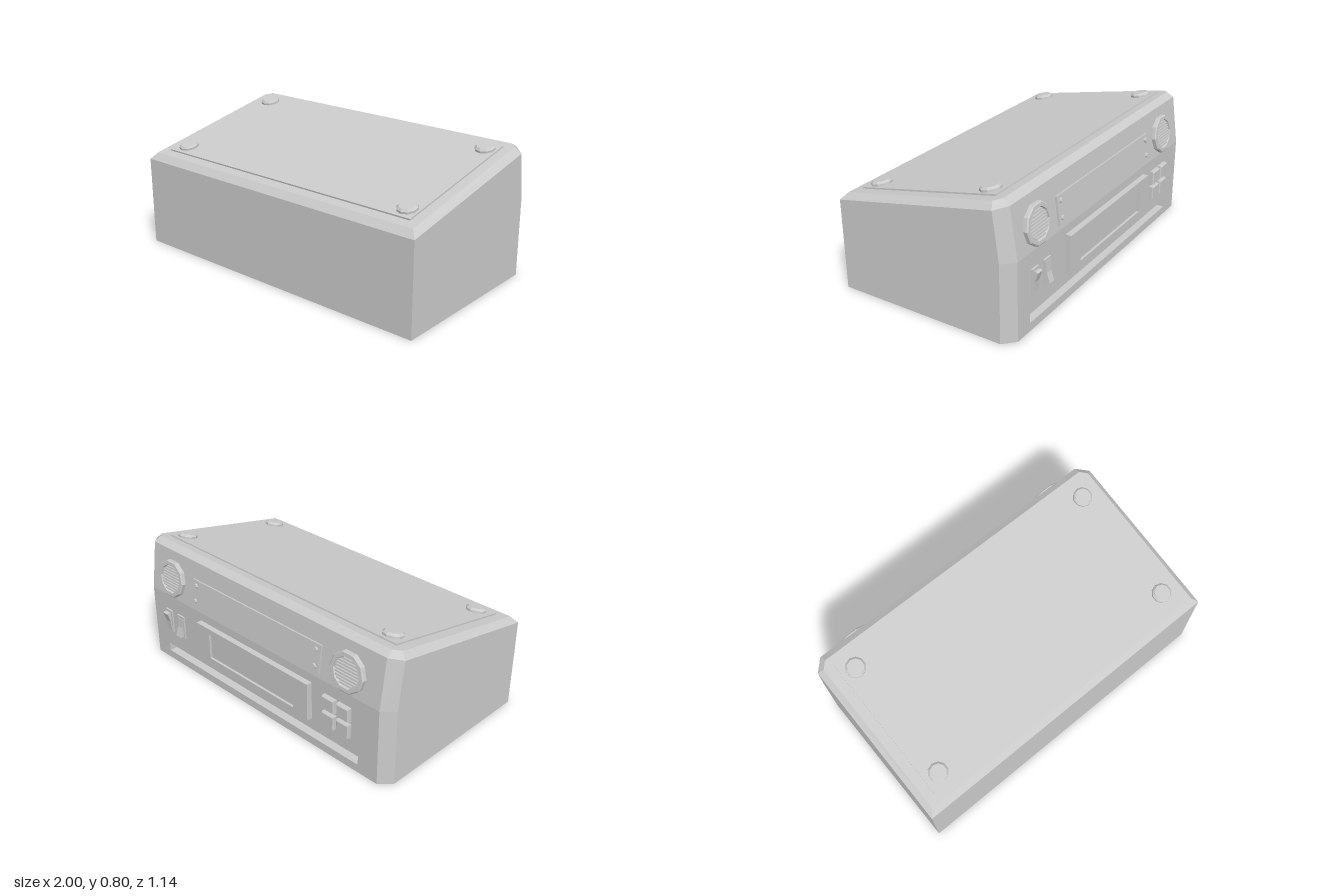
import * as THREE from 'three';

const grey = new THREE.MeshStandardMaterial({ color: 0xcccccc, flatShading: true });

function add(parent, name, geo, x = 0, y = 0, z = 0) {
  const m = new THREE.Mesh(geo, grey);
  m.name = name;
  m.position.set(x, y, z);
  parent.add(m);
  return m;
}

function group(parent, name, x, y, z, tilt = 0) {
  const g = new THREE.Group();
  g.name = name;
  g.position.set(x, y, z);
  g.rotation.x = tilt;
  parent.add(g);
  return g;
}

function trace(path, points) {
  points.forEach(([x, y], i) => (i ? path.lineTo(x, y) : path.moveTo(x, y)));
  path.closePath();
  return path;
}

const rect = (w, h, x = 0, y = 0) => [
  [x - w / 2, y - h / 2], [x + w / 2, y - h / 2], [x + w / 2, y + h / 2], [x - w / 2, y + h / 2],
];

// Box standing on z = 0 and growing towards the back (-z)
const slab = (w, h, d) => new THREE.BoxGeometry(w, h, d).translate(0, 0, -d / 2);

// Slab whose outer rim is bevelled
function key(w, h, d, b) {
  const g = new THREE.ExtrudeGeometry(trace(new THREE.Shape(), rect(w - 2 * b, h - 2 * b)), {
    depth: d - b, bevelEnabled: true, bevelSize: b, bevelThickness: b, bevelSegments: 1,
  });
  return g.rotateY(Math.PI);
}

// Casing shell lofted through six-cornered rings, each given by three corners of its +x half
function casing() {
  const rings = [
    [[1, 0, 0.57], [1, 0, -0.465], [0.935, 0, -0.53]],
    [[1, 0.3, 0.57], [1, 0.463, -0.465], [0.935, 0.463, -0.53]],
    [[1, 0.545, 0.57], [1, 0.745, -0.427], [0.935, 0.76, -0.488]],
    [[0.965, 0.585, 0.535], [0.965, 0.779, -0.408], [0.928, 0.787, -0.445]],
  ].map((half) => [...half, ...half.map(([x, y, z]) => [-x, y, z]).reverse()]);
  const pos = [];
  const tri = (...p) => p.forEach((v) => pos.push(...v));
  for (let r = 0; r < 3; r++) {
    for (let i = 0; i < 6; i++) {
      if (r === 0 && i === 2) continue; // the slotted back panel closes this side
      const j = (i + 1) % 6, lo = rings[r], hi = rings[r + 1];
      tri(lo[i], lo[j], hi[j]);
      tri(lo[i], hi[j], hi[i]);
    }
  }
  for (let i = 1; i < 5; i++) {
    tri(rings[3][0], rings[3][i], rings[3][i + 1]);
    tri(rings[0][0], rings[0][i + 1], rings[0][i]);
  }
  const g = new THREE.BufferGeometry();
  g.setAttribute('position', new THREE.Float32BufferAttribute(pos, 3));
  g.computeVertexNormals();
  return g;
}

const lathe = (profile, sides, start = 0) =>
  new THREE.LatheGeometry(profile.map(([r, y]) => new THREE.Vector2(r, y)), sides, start);

function speaker(parent, x) {
  const g = group(parent, 'speaker', x, -0.022, 0);
  const profile = [[0.118, 0], [0.118, 0.021], [0.111, 0.027], [0.09, 0.027], [0.086, 0.012], [0, 0.012]];
  add(g, 'speakerRim', lathe(profile, 10, Math.PI / 2).rotateX(-Math.PI / 2));
  for (let i = -4; i <= 4; i++) {
    const y = i * 0.0175;
    add(g, 'grilleBar', slab(2 * Math.sqrt(0.083 ** 2 - y * y), 0.009, 0.022), 0, y);
  }
}

// Rocker switch; dir = 1 has the upper half out, -1 the lower half
function rockerSwitch(parent, x, dir) {
  const g = group(parent, 'rockerSwitch', x, 0.289, -0.53);
  add(g, 'switchFrame', slab(0.062, 0.152, 0.011));
  const side = [[0.005, -0.06], [0.014, -0.06], [0.018, 0], [0.037, 0.058], [0.026, 0.064], [0.005, 0.06]];
  const shape = trace(new THREE.Shape(), side.map(([d, y]) => [d, y * dir]));
  const geo = new THREE.ExtrudeGeometry(shape, { depth: 0.044, bevelEnabled: false });
  add(g, 'rocker', geo.translate(0, 0, -0.022).rotateY(Math.PI / 2));
}

export function createModel() {
  const model = new THREE.Group();
  model.name = 'desktopConsole';

  add(model, 'casing', casing());

  // Lower back panel with its long slot
  const panel = trace(new THREE.Shape(), rect(1.87, 0.463, 0, 0.2315));
  panel.holes.push(trace(new THREE.Path(), rect(1.62, 0.055, -0.01, 0.0775)));
  add(model, 'backPanel', new THREE.ShapeGeometry(panel).rotateY(Math.PI), 0, 0, -0.53);
  const slot = new THREE.BoxGeometry(1.62, 0.055, 0.08).scale(-1, 1, 1); // turned inside out
  slot.computeVertexNormals();
  add(model, 'slotRecess', slot, 0.01, 0.0775, -0.49);

  // Sloping lid plate with four feet
  const lid = group(model, 'lid', 0.008, 0.686, 0.0455, 0.203);
  add(lid, 'lidPlate', new THREE.BoxGeometry(1.815, 0.012, 0.888), -0.008, 0.003, 0);
  const foot = lathe([[0.059, 0], [0.059, 0.021], [0.047, 0.033], [0, 0.033]], 10);
  for (const x of [-0.829, 0.829]) for (const z of [-0.366, 0.366]) add(lid, 'foot', foot, x, 0, z);

  // Leaning upper back: speakers and screwed plate
  const upper = group(model, 'upperBack', 0.014, 0.6115, -0.509, 0.141);
  speaker(upper, -0.725);
  speaker(upper, 0.725);
  add(upper, 'screwedPlate', slab(1.058, 0.165, 0.012), 0, -0.037);
  const screw = new THREE.CylinderGeometry(0.014, 0.016, 0.012, 8).rotateX(-Math.PI / 2);
  for (const x of [-0.495, 0.495]) for (const y of [-0.085, 0.012]) add(upper, 'screw', screw, x, y, -0.017);

  // Display with recessed screen
  const display = group(model, 'display', 0.007, 0.293, -0.53);
  const frame = trace(new THREE.Shape(), rect(0.93, 0.236));
  frame.holes.push(trace(new THREE.Path(), rect(0.71, 0.165)));
  add(display, 'displayFrame', new THREE.ExtrudeGeometry(frame, { depth: 0.035, bevelEnabled: false }), 0, 0, -0.035);
  add(display, 'screen', slab(0.72, 0.17, 0.02));

  // Switches and push buttons
  rockerSwitch(model, 0.783, 1);
  rockerSwitch(model, 0.667, -1);
  for (const x of [-0.6, -0.705]) {
    for (const y of [0.245, 0.347]) add(model, 'pushButton', key(0.088, 0.085, 0.027, 0.006), x, y, -0.53);
  }
  return model;
}
